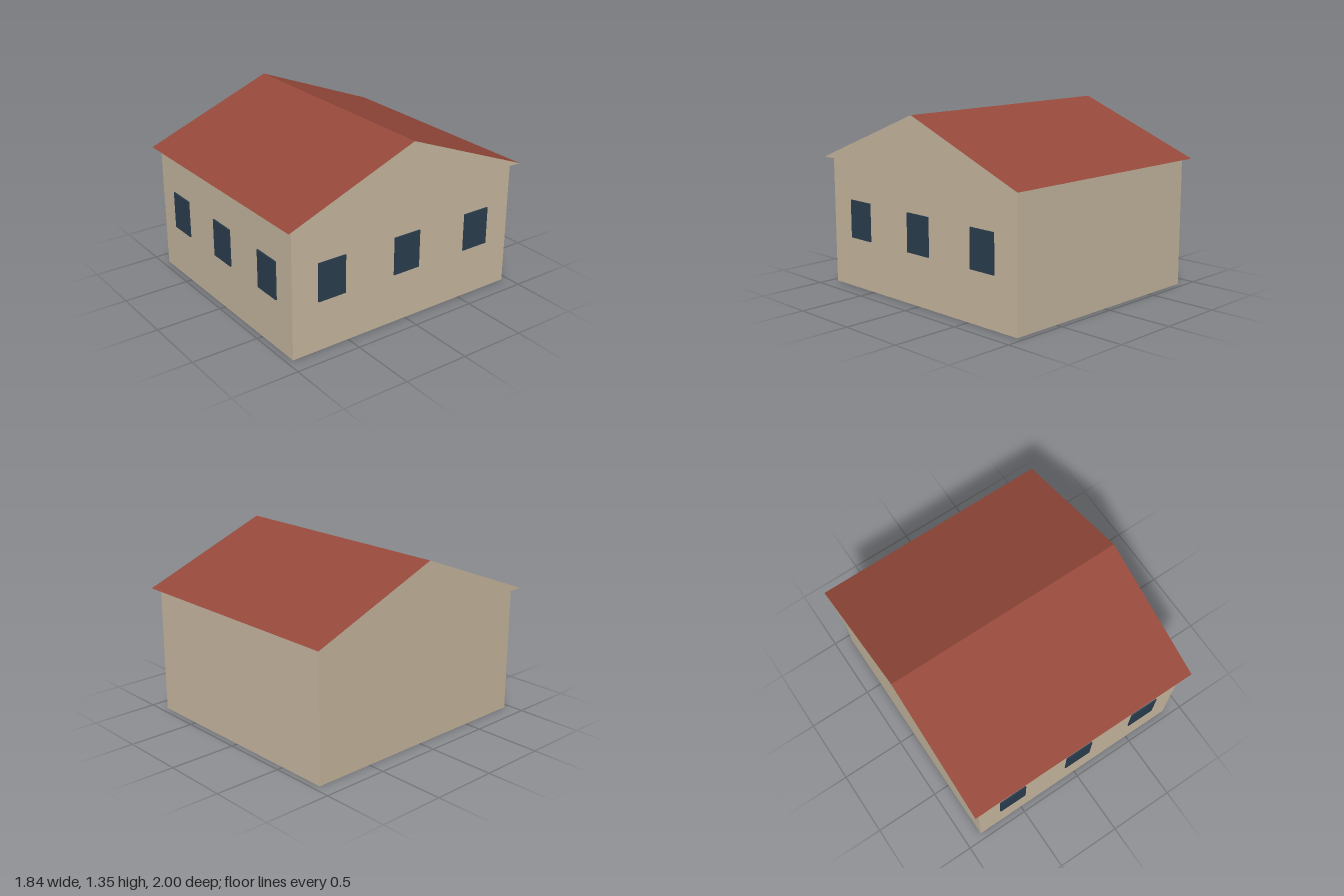
import * as THREE from 'three';

const WALL_X = 0.871, WALL_Z = 0.952, EAVES = 0.957, RIDGE = 1.35;
const ROOF_X = 0.92, ROOF_Z = 1;

function material(name, color) {
  const m = new THREE.MeshStandardMaterial({ color });
  m.name = name;
  return m;
}

export function createModel() {
  const plaster = material('beige plaster', 0xcbbba3);
  const tile = material('red roof', 0x96493a);
  const glass = material('dark blue glass', 0x2c3f50);

  const house = new THREE.Group();
  house.name = 'house';

  function add(name, geometry, mat, parent = house) {
    const mesh = new THREE.Mesh(geometry, mat);
    mesh.name = name;
    parent.add(mesh);
    return mesh;
  }

  // Walls
  add('walls', new THREE.BoxGeometry(2 * WALL_X, EAVES, 2 * WALL_Z), plaster)
    .position.y = EAVES / 2;

  // Gable roof: plaster end caps, red slopes and underside
  const gable = new THREE.Shape([
    new THREE.Vector2(-ROOF_Z, EAVES),
    new THREE.Vector2(ROOF_Z, EAVES),
    new THREE.Vector2(0, RIDGE),
  ]);
  const roof = new THREE.ExtrudeGeometry(gable, { depth: 2 * ROOF_X, bevelEnabled: false });
  roof.translate(0, 0, -ROOF_X).rotateY(Math.PI / 2);
  add('roof', roof, [plaster, tile]);

  // Three thin window panes on the front and three on the left side
  const PANE = 0.0098;
  const pane = new THREE.BoxGeometry(0.22, 0.285, PANE);
  function windowRow(name, wallDistance, spacing, angle) {
    const row = new THREE.Group();
    row.name = name;
    row.rotation.y = angle;
    for (const i of [-1, 0, 1]) {
      add('window', pane, glass, row)
        .position.set(i * spacing, 0.517, wallDistance + PANE / 2);
    }
    house.add(row);
  }
  windowRow('frontWindows', WALL_Z, 0.58, 0);
  windowRow('leftWindows', WALL_X, 0.636, Math.PI / 2);

  return house;
}
